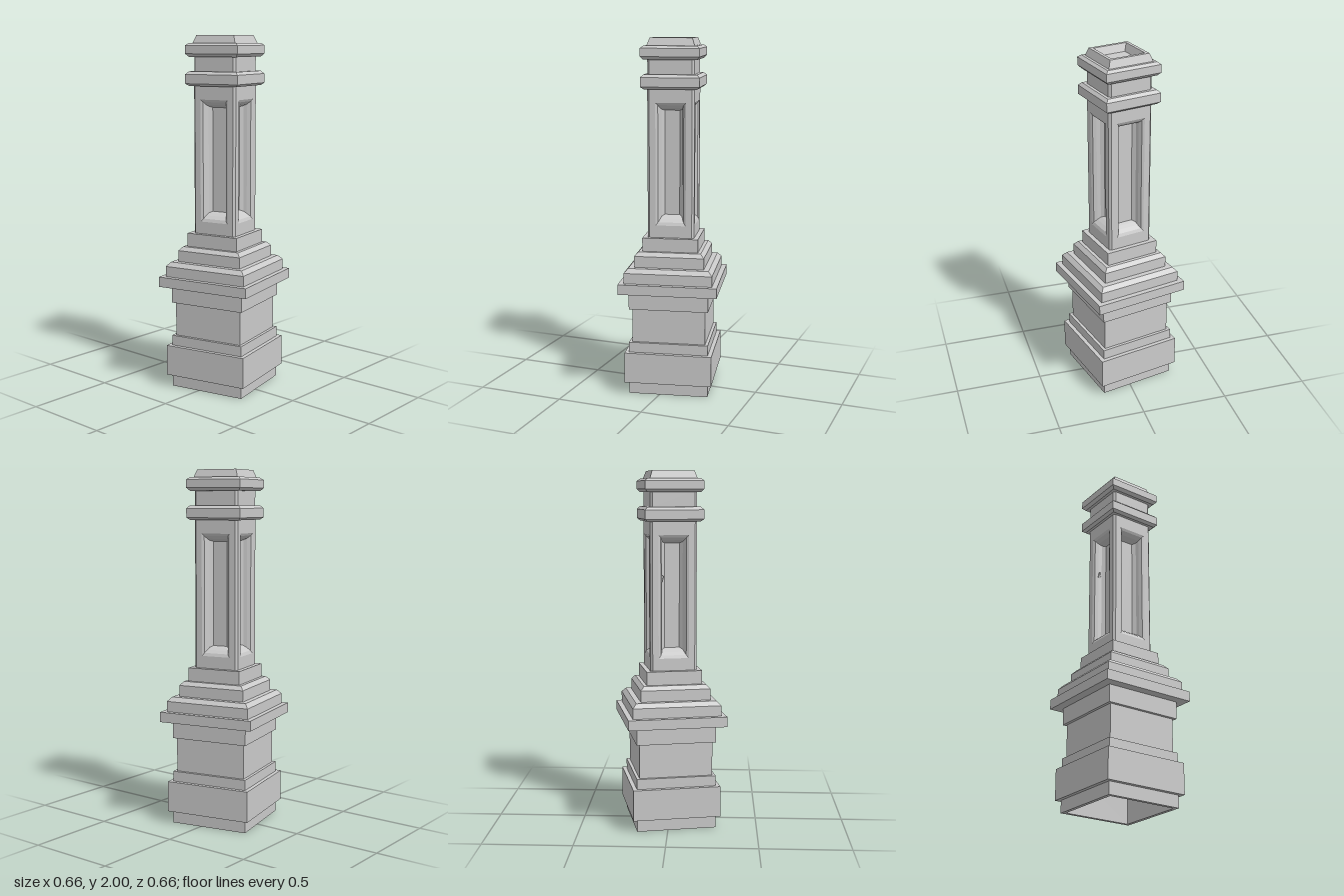
import * as THREE from 'three';

const material = new THREE.MeshStandardMaterial({ color: 0xcccccc, flatShading: true });

function addMesh(parent, geometry, name) {
  const mesh = new THREE.Mesh(geometry, material);
  mesh.name = name;
  parent.add(mesh);
  return mesh;
}

// Square moulding: profile of [half width, y], turned in four flat sides
function squareTurned(profile) {
  const points = profile.map(([half, y]) => new THREE.Vector2(half * Math.SQRT2, y));
  const geometry = new THREE.LatheGeometry(points, 4, Math.PI / 4).toNonIndexed();
  geometry.computeVertexNormals();
  return geometry;
}

// One side of a shaft: nested rectangles [half width, bottom, top, z], skinned and closed
function sidePanel(rings) {
  const positions = [];
  const corners = ([w, y0, y1, z]) => [[-w, y0, z], [w, y0, z], [w, y1, z], [-w, y1, z]];
  const quad = (a, b, c, d) => positions.push(...a, ...b, ...c, ...a, ...c, ...d);
  for (let i = 0; i < rings.length - 1; i++) {
    const outer = corners(rings[i]), inner = corners(rings[i + 1]);
    for (let k = 0; k < 4; k++) {
      const n = (k + 1) % 4;
      quad(outer[k], outer[n], inner[n], inner[k]);
    }
  }
  quad(...corners(rings[rings.length - 1]));
  const geometry = new THREE.BufferGeometry();
  geometry.setAttribute('position', new THREE.Float32BufferAttribute(positions, 3));
  geometry.computeVertexNormals();
  return geometry;
}

// Four equal sides around the axis
function fourSided(parent, name, rings) {
  const group = new THREE.Group();
  group.name = name;
  const geometry = sidePanel(rings);
  for (let i = 0; i < 4; i++) addMesh(group, geometry, name + 'Side').rotation.y = i * Math.PI / 2;
  parent.add(group);
}

export function createModel() {
  const model = new THREE.Group();
  const pillar = new THREE.Group();
  pillar.name = 'pillar';
  pillar.rotation.y = THREE.MathUtils.degToRad(12.5);
  model.add(pillar);

  // Stepped pedestal, hollow underneath
  addMesh(pillar, squareTurned([
    [0, 0.48], [0.185, 0.48], [0.185, 0.27], [0.203, 0.27], [0.203, 0],
    [0.224, 0], [0.224, 0.07], [0.247, 0.07], [0.247, 0.245],
    [0.224, 0.245], [0.224, 0.303], [0.207, 0.303], [0.207, 0.497],
    [0.224, 0.497], [0.224, 0.595], [0.277, 0.595], [0.277, 0.652],
    [0.248, 0.652], [0.248, 0.711], [0.226, 0.735],
    [0.196, 0.735], [0.196, 0.798], [0.176, 0.82],
    [0.157, 0.82], [0.157, 0.896], [0, 0.896],
  ]), 'pedestal');

  // Shaft with chamfered corners and coved recessed panels
  fourSided(pillar, 'shaft', [
    [0.125, 0.89, 1.73, 0.125],
    [0.119, 0.89, 1.73, 0.131],
    [0.085, 0.965, 1.65, 0.131],
    [0.072, 0.982, 1.637, 0.124],
    [0.063, 0.998, 1.621, 0.105],
    [0.058, 1.01, 1.612, 0.086],
    [0.042, 1.018, 1.605, 0.068],
  ]);

  // Lower ring, neck and cap
  addMesh(pillar, squareTurned([
    [0, 1.724], [0.147, 1.724], [0.163, 1.737], [0.163, 1.788], [0.147, 1.804], [0, 1.804],
  ]), 'lowerRing');
  fourSided(pillar, 'neck', [
    [0.124, 1.8, 1.89, 0.124],
    [0.118, 1.8, 1.89, 0.13],
  ]);
  addMesh(pillar, squareTurned([
    [0, 1.883], [0.147, 1.883], [0.163, 1.9], [0.163, 1.945], [0.147, 1.958],
    [0.132, 1.958], [0.117, 2], [0.099, 2], [0.083, 1.958], [0, 1.958],
  ]), 'cap');

  // Small broken ledge on the rear panel's jamb
  const chip = addMesh(pillar, new THREE.CylinderGeometry(0.006, 0.013, 0.035, 5), 'chippedLedge');
  chip.position.set(0.062, 1.41, -0.098);
  chip.rotation.z = 0.4;

  return model;
}
